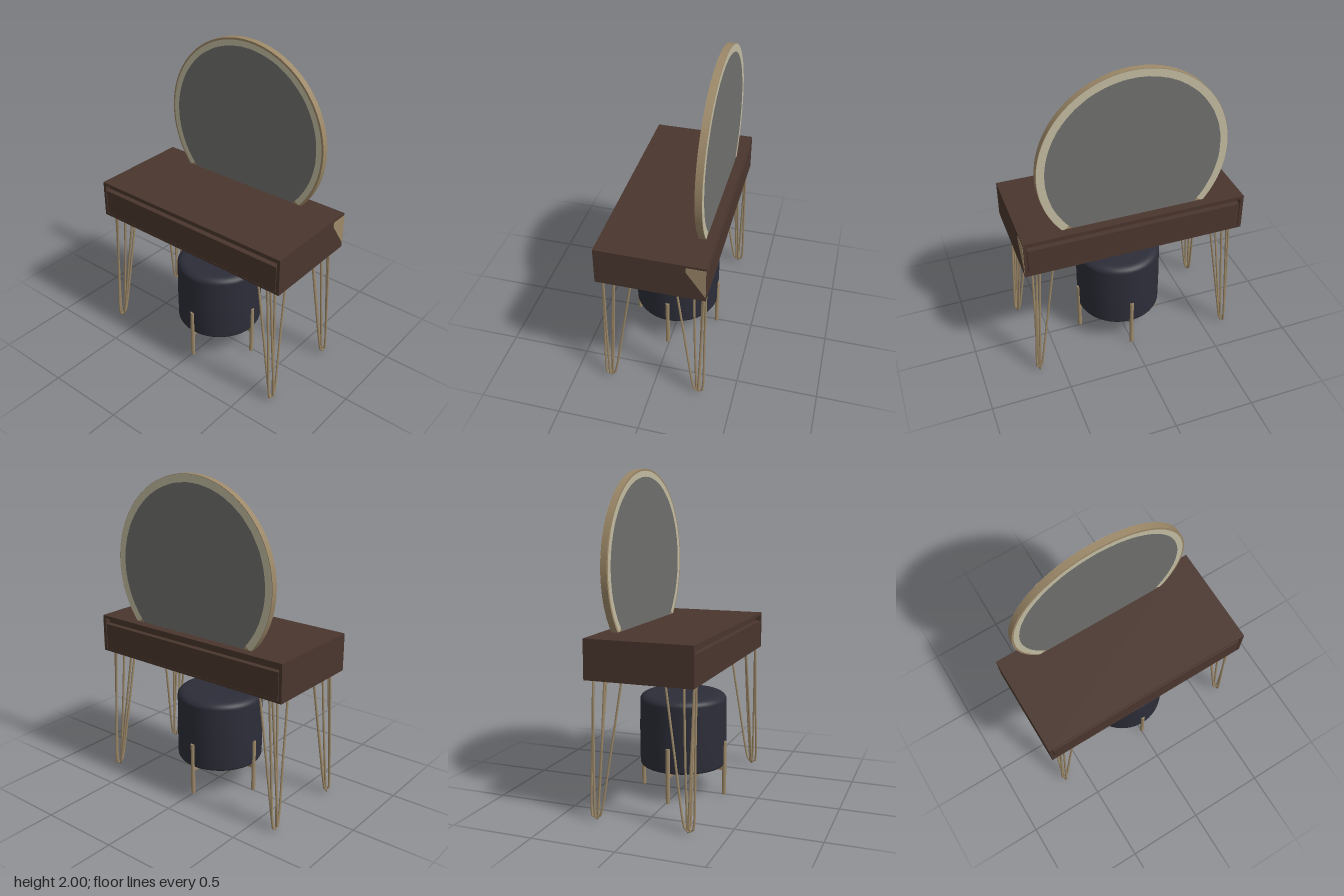
import * as THREE from 'three';

const mat = (name, color, double = false) => {
  const m = new THREE.MeshStandardMaterial({ color });
  m.name = name;
  if (double) m.side = THREE.DoubleSide;
  return m;
};

export function createModel() {
  const wood = mat('walnut', 0x4a362e);
  const brass = mat('brass', 0x9c8868);
  const lightRim = mat('paleRim', 0xc3bca2, true);
  const glass = mat('mirrorGrey', 0x6f706d);
  const fabric = mat('navyFabric', 0x2c2d38);

  const root = new THREE.Group();
  root.name = 'vanitySet';

  const add = (parent, name, geo, material, x = 0, y = 0, z = 0) => {
    const m = new THREE.Mesh(geo, material);
    m.name = name;
    m.position.set(x, y, z);
    parent.add(m);
    return m;
  };
  const box = (parent, name, w, h, d, material, x, y, z) =>
    add(parent, name, new THREE.BoxGeometry(w, h, d), material, x, y, z);

  // Desk: outer shell, inner core and two panels with a finger gap above them
  const desk = new THREE.Group();
  desk.name = 'desk';
  root.add(desk);
  box(desk, 'deskTop', 1.38, 0.018, 0.65, wood, 0, 1.051, 0);
  box(desk, 'deskBottom', 1.38, 0.015, 0.65, wood, 0, 0.8325, 0);
  box(desk, 'deskCore', 1.34, 0.21, 0.58, wood, 0, 0.94, 0);
  for (const s of [-1, 1]) {
    box(desk, 'deskSide', 0.02, 0.21, 0.65, wood, s * 0.68, 0.94, 0);
    box(desk, s > 0 ? 'drawerFront' : 'backPanel', 1.33, 0.17, 0.035, wood, 0, 0.92, s * 0.306);
  }

  // Pale corner inlay on the left side, at the back
  const inlay = new THREE.Shape([[0.21, 1.045], [0.325, 1.045], [0.325, 0.85], [0.21, 1.015]]
    .map(([x, y]) => new THREE.Vector2(x, y)));
  const inlayGeo = new THREE.ExtrudeGeometry(inlay, { depth: 0.002, bevelEnabled: false });
  inlayGeo.rotateY(Math.PI / 2);
  add(desk, 'cornerInlay', inlayGeo, brass, 0.69, 0, 0);

  // Hairpin legs: two bent rods in each corner
  const rod = (points) => {
    const path = new THREE.CatmullRomCurve3(points.map((p) => new THREE.Vector3(...p)), false, 'centripetal');
    return new THREE.TubeGeometry(path, 48, 0.007, 8);
  };
  const rods = (sx, sz) => [
    [[0.505, 0.83, 0.27], [0.565, 0.43, 0.278], [0.622, 0.05, 0.285], [0.629, 0.018, 0.285], [0.642, 0.007, 0.285],
      [0.655, 0.018, 0.285], [0.658, 0.05, 0.286], [0.64, 0.43, 0.294], [0.617, 0.83, 0.302]],
    [[0.605, 0.83, 0.13], [0.623, 0.43, 0.19], [0.643, 0.05, 0.25], [0.644, 0.018, 0.262], [0.645, 0.007, 0.285],
      [0.645, 0.018, 0.305], [0.643, 0.05, 0.312], [0.623, 0.43, 0.311], [0.6, 0.83, 0.309]],
    [[0.602, 0.83, 0.238], [0.622, 0.43, 0.252], [0.643, 0.018, 0.272]],
  ].map((pts) => pts.map(([x, y, z]) => [x * sx, y, z * sz]));
  for (const sx of [-1, 1]) for (const sz of [-1, 1]) {
    const leg = new THREE.Group();
    leg.name = 'hairpinLeg';
    root.add(leg);
    rods(sx, sz).forEach((pts) => add(leg, 'legRod', rod(pts), brass));
  }

  // Round mirror, cut off just below the desk top
  const mirror = new THREE.Group();
  mirror.name = 'mirror';
  mirror.position.set(0, 1.425, -0.247);
  root.add(mirror);
  const cut = Math.asin(0.375 / 0.575);
  const segment = (r) => {
    const s = new THREE.Shape();
    const a = Math.asin(0.375 / r);
    s.absarc(0, 0, r, -a, Math.PI + a, false);
    s.closePath();
    return s;
  };
  const slab = (r, depth) => {
    const g = new THREE.ExtrudeGeometry(segment(r), { depth, bevelEnabled: false, curveSegments: 72 });
    return g.translate(0, 0, -depth / 2);
  };
  add(mirror, 'mirrorRim', slab(0.575, 0.04), brass);
  for (const s of [-1, 1]) {
    const ring = new THREE.RingGeometry(0.527, s > 0 ? 0.563 : 0.573, 96, 1, -cut, Math.PI + 2 * cut);
    add(mirror, s > 0 ? 'frontBorder' : 'backBorder', ring, lightRim, 0, 0, s * 0.0215);
  }
  add(mirror, 'mirrorGlass', slab(0.528, 0.043), glass);

  // Stool: upholstered drum with rounded edges
  const stool = new THREE.Group();
  stool.name = 'stool';
  stool.position.set(0.005, 0, 0.01);
  root.add(stool);
  const profile = [new THREE.Vector2(0, 0.178), new THREE.Vector2(0.25, 0.178), new THREE.Vector2(0.263, 0.182),
    new THREE.Vector2(0.27, 0.195), new THREE.Vector2(0.272, 0.4)];
  for (let i = 0; i <= 8; i++) {
    const a = (i / 8) * Math.PI / 2;
    profile.push(new THREE.Vector2(0.215 + 0.055 * Math.cos(a), 0.59 + 0.04 * Math.sin(a)));
  }
  profile.push(new THREE.Vector2(0.12, 0.634), new THREE.Vector2(0, 0.635));
  add(stool, 'stoolSeat', new THREE.LatheGeometry(profile, 56), fabric);

  // Stool frame: four posts joined by a cross
  for (let i = 0; i < 4; i++) {
    const a = i * Math.PI / 2;
    add(stool, 'stoolLeg', new THREE.CylinderGeometry(0.013, 0.013, 0.34, 14), brass,
      Math.cos(a) * 0.271, 0.17, Math.sin(a) * 0.271);
  }
  box(stool, 'crossBar', 0.54, 0.022, 0.022, brass, 0, 0.167, 0);
  box(stool, 'crossBar', 0.022, 0.022, 0.54, brass, 0, 0.167, 0);

  return root;
}
